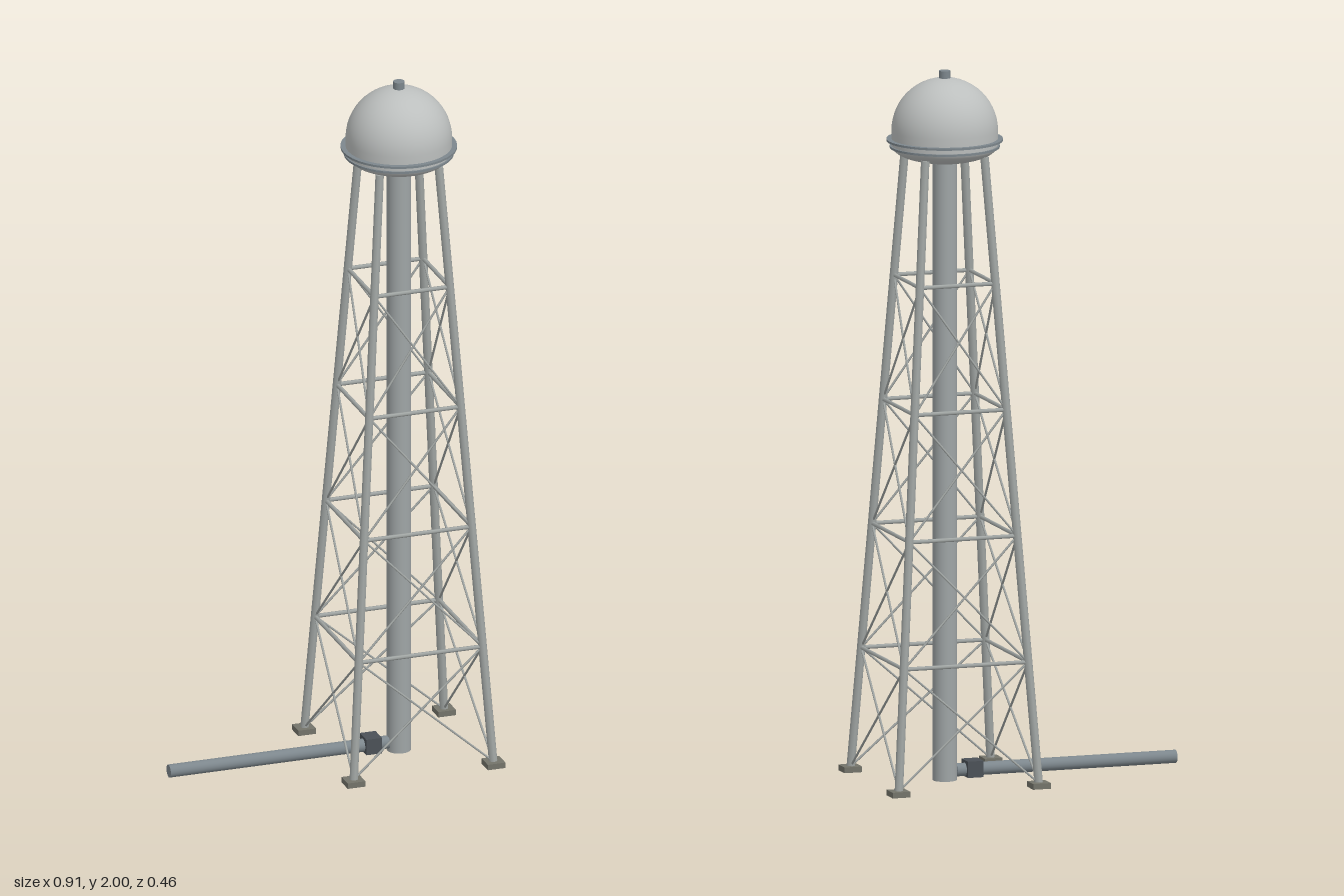
import * as THREE from 'three';

const mat = (name, color) => {
  const m = new THREE.MeshStandardMaterial({ color });
  m.name = name;
  return m;
};

export function createModel() {
  const model = new THREE.Group();
  model.name = 'waterTower';
  const tankPaint = mat('tank light grey', 0xbcbfbe);
  const steel = mat('tower steel', 0xa2a7a5);
  const riserPaint = mat('riser grey', 0x9fa5a6);
  const pipePaint = mat('pipe blue grey', 0x7d878d);
  const concrete = mat('footing concrete', 0x74746a);
  const dark = mat('valve dark grey', 0x4b5157);

  const tower = new THREE.Group();
  tower.name = 'tower';
  tower.position.x = 0.22;
  model.add(tower);

  const add = (parent, name, geometry, material, x = 0, y = 0, z = 0) => {
    const mesh = new THREE.Mesh(geometry, material);
    mesh.name = name;
    mesh.position.set(x, y, z);
    parent.add(mesh);
    return mesh;
  };

  // Straight bar between two points
  const bar = (parent, name, a, b, radius, sides, material) => {
    const dir = b.clone().sub(a);
    const g = new THREE.CylinderGeometry(radius, radius, dir.length(), sides);
    const mesh = add(parent, name, g, material);
    mesh.position.copy(a).add(b).multiplyScalar(0.5);
    mesh.quaternion.setFromUnitVectors(new THREE.Vector3(0, 1, 0), dir.normalize());
  };

  // Tapering leg line: corner i (0..3) at height y
  const TOP = 1.765, STEP = TOP / 5;
  const corner = (i, y) => {
    const r = THREE.MathUtils.lerp(0.206, 0.087, y / TOP);
    const [sx, sz] = [[1, 1], [-1, 1], [-1, -1], [1, -1]][i % 4];
    return new THREE.Vector3(sx * r, y, sz * r);
  };

  // Legs, footings and lattice bracing
  for (let i = 0; i < 4; i++) {
    const foot = corner(i, 0);
    add(tower, 'footing', new THREE.BoxGeometry(0.052, 0.016, 0.052), concrete, foot.x, 0.009, foot.z);
    bar(tower, 'leg', corner(i, 0.008), corner(i, TOP), 0.0125, 8, steel);
    for (let k = 0; k < 4; k++) {
      const low = Math.max(k * STEP, 0.015), high = (k + 1) * STEP;
      bar(tower, 'girt', corner(i, high), corner(i + 1, high), 0.006, 6, steel);
      bar(tower, 'diagonalBrace', corner(i, low), corner(i + 1, high), 0.0032, 6, steel);
      bar(tower, 'diagonalBrace', corner(i + 1, low), corner(i, high), 0.0032, 6, steel);
    }
  }

  // Central riser
  add(tower, 'riser', new THREE.CylinderGeometry(0.034, 0.034, 1.75, 24), riserPaint, 0, 0.875, 0);

  // Tank: shallow bowl, short wall, hemispherical dome
  const R = 0.148, profile = [];
  for (let i = 0; i <= 10; i++) {
    const t = (i / 10) * Math.PI / 2;
    profile.push(new THREE.Vector2(R * Math.sin(t), 1.79 - 0.048 * Math.cos(t)));
  }
  for (let i = 0; i <= 14; i++) {
    const t = (i / 14) * Math.PI / 2;
    profile.push(new THREE.Vector2(R * Math.cos(t), 1.832 + R * Math.sin(t)));
  }
  add(tower, 'tank', new THREE.LatheGeometry(profile, 40), tankPaint);

  // Walkway ring and lower band around the tank
  const ring = (name, inner, outer, y, h) => {
    const pts = [[inner, 0], [outer, 0], [outer, h], [inner, h], [inner, 0]]
      .map(([r, v]) => new THREE.Vector2(r, v));
    const g = new THREE.LatheGeometry(pts, 40).toNonIndexed();
    g.computeVertexNormals();
    add(tower, name, g, pipePaint, 0, y, 0);
  };
  ring('walkway', 0.144, 0.162, 1.803, 0.006);
  ring('tankBand', 0.142, 0.153, 1.784, 0.006);

  // Roof vent
  add(tower, 'roofVent', new THREE.CylinderGeometry(0.016, 0.016, 0.03, 16), pipePaint, 0, 1.985, 0);

  // Ground main with its valve box
  const main = add(model, 'groundPipe', new THREE.CylinderGeometry(0.0185, 0.0185, 0.645, 20), pipePaint, -0.1345, 0.026, 0);
  main.rotation.z = Math.PI / 2;
  add(model, 'valveBox', new THREE.BoxGeometry(0.046, 0.046, 0.055), dark, 0.138, 0.029, 0);

  return model;
}
